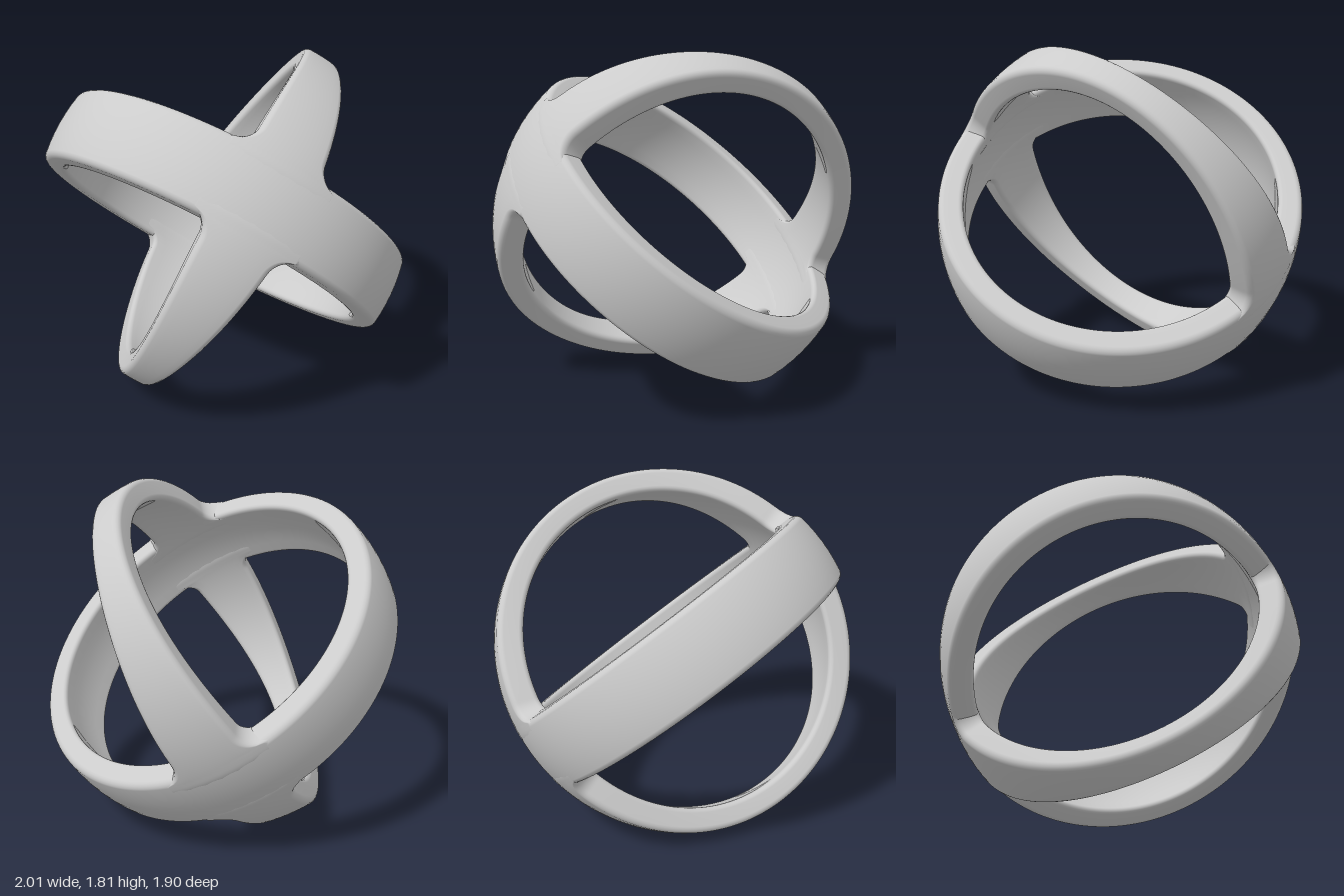
import * as THREE from 'three';

const A_HALF = 0.2;     // half width of the broad band
const FILLET = 0.11;    // radius of the blend where the bands cross

// Rounded-rectangle section, counter-clockwise; returns [radius, offset along the ring normal]
function section(outer, inner, h) {
  const c = 0.03, pts = [];
  const corners = [[outer - c, -h + c, -90], [outer - c, h - c, 0], [inner + c, h - c, 90], [inner + c, -h + c, 180]];
  corners.forEach(([r, s, start], k) => {
    for (let i = 0; i <= 4; i++) {
      const a = THREE.MathUtils.degToRad(start + i * 22.5);
      pts.push([r + c * Math.cos(a), s + c * Math.sin(a)]);
    }
    // extra points along the wide faces so they can follow the sphere
    if (k % 2 === 0) {
      const dir = k === 0 ? 1 : -1, face = k === 0 ? outer : inner;
      for (let i = 1; i < 6; i++) pts.push([face, dir * (h - c) * (i / 3 - 1)]);
    }
  });
  // bend the section to a spherical band
  return pts.map(([r, s]) => [r - (1 - Math.sqrt(1 - s * s)), s]);
}

// Closed ring swept about a normal, starting at the crossing axis.
// The wall is thicker and a little flatter at the crossings; lift offsets both faces.
function ring(name, normal, axis, halfWidth, lift, material) {
  const side = new THREE.Vector3().crossVectors(normal, axis).normalize();
  const start = new THREE.Vector3().crossVectors(side, normal);
  const steps = 480, pos = [], index = [], p = new THREE.Vector3();
  for (let i = 0; i < steps; i++) {
    const t = (i / steps) * Math.PI * 2, near = Math.cos(t) ** 2;
    const outer = 1.02 - 0.042 * near + lift(t);
    const inner = 0.895 - 0.055 * near - lift(t);
    const pts = section(outer, inner, halfWidth(t)), n = pts.length;
    pts.forEach(([r, s], j) => {
      p.set(0, 0, 0)
        .addScaledVector(start, r * Math.cos(t))
        .addScaledVector(side, r * Math.sin(t))
        .addScaledVector(normal, s);
      pos.push(p.x, p.y, p.z);
      const i2 = (i + 1) % steps, j2 = (j + 1) % n;
      const a = i * n + j, b = i2 * n + j, c = i2 * n + j2, d = i * n + j2;
      index.push(a, b, c, a, c, d);
    });
  }
  const geo = new THREE.BufferGeometry();
  geo.setAttribute('position', new THREE.Float32BufferAttribute(pos, 3));
  geo.setIndex(index);
  geo.computeVertexNormals();
  const mesh = new THREE.Mesh(geo, material);
  mesh.name = name;
  return mesh;
}

// Narrow band: widens towards the crossing, then flares into the broad band
function narrowHalfWidth(t) {
  const base = 0.085 + 0.105 * Math.cos(t) ** 2;
  const gap = Math.max(Math.abs(Math.sin(t)) - A_HALF, 0);
  if (gap >= FILLET) return base;
  return base + FILLET - Math.sqrt(FILLET ** 2 - (FILLET - gap) ** 2);
}

// Narrow band covers the edge of the broad one, then sinks into it
const narrowLift = (t) => 0.002 - 0.01 * (1 - THREE.MathUtils.smoothstep(Math.abs(Math.sin(t)), 0.08, 0.16));

export function createModel() {
  const group = new THREE.Group();
  group.name = 'crossedRings';
  const material = new THREE.MeshStandardMaterial({ color: 0xcccccc });

  const broadNormal = new THREE.Vector3(0.12, 0.755, -0.645).normalize();
  const narrowNormal = new THREE.Vector3(0.745, -0.52, -0.425).normalize();
  const axis = new THREE.Vector3().crossVectors(narrowNormal, broadNormal).normalize();

  group.add(ring('broadRing', broadNormal, axis, () => A_HALF, () => 0, material));
  group.add(ring('narrowRing', narrowNormal, axis, narrowHalfWidth, narrowLift, material));
  group.position.y = 0.92;

  const root = new THREE.Group();
  root.name = 'model';
  root.add(group);
  return root;
}
